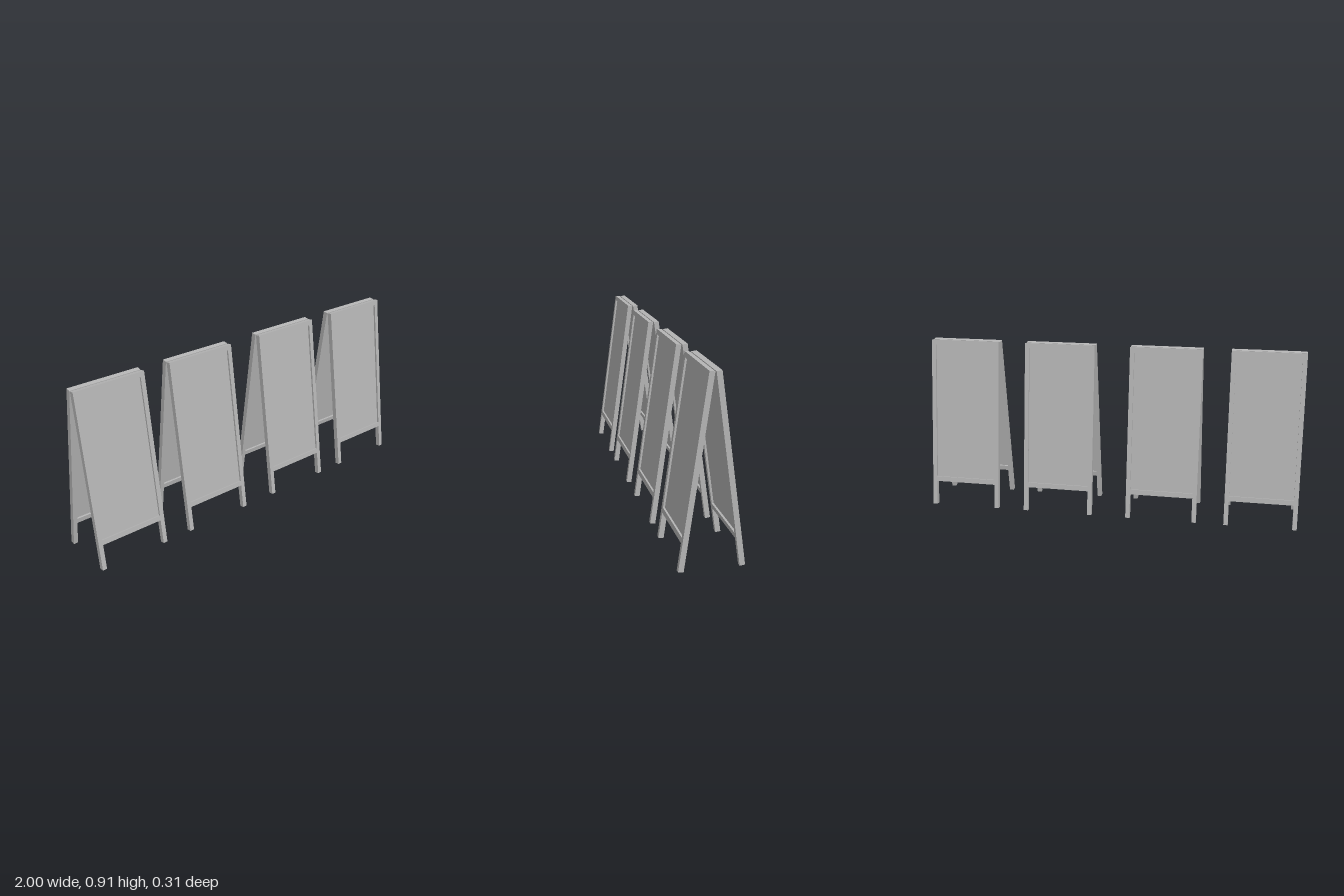
import * as THREE from 'three';

const WIDTH = 0.38, LENGTH = 0.919, DEPTH = 0.026; // one leaf, measured along its slope
const LEG = 0.023, RAIL = 0.026, TILT = 0.14;
const RAIL_Y = 0.131; // underside of the bottom rail, up the slope

const grey = new THREE.MeshStandardMaterial({ color: 0xb4b4b4 });
grey.name = 'grey';

function box(name, w, h, d, x, y, z = 0) {
  const mesh = new THREE.Mesh(new THREE.BoxGeometry(w, h, d), grey);
  mesh.name = name;
  mesh.position.set(x, y, z);
  return mesh;
}

// One framed leaf standing on its legs, outer face towards +z
function makeLeaf(name) {
  const leaf = new THREE.Group();
  leaf.name = name;
  const inner = WIDTH - 2 * LEG;
  for (const [side, s] of [['left', 1], ['right', -1]]) {
    leaf.add(box(side + 'Leg', LEG, LENGTH, DEPTH, s * (WIDTH - LEG) / 2, LENGTH / 2));
  }
  leaf.add(box('topRail', inner, RAIL, DEPTH, 0, LENGTH - RAIL / 2));
  leaf.add(box('bottomRail', inner, RAIL, DEPTH, 0, RAIL_Y + RAIL / 2));
  // Recessed board between the rails
  const low = RAIL_Y + RAIL, high = LENGTH - RAIL;
  leaf.add(box('panel', inner, high - low, 0.006, 0, (low + high) / 2));
  return leaf;
}

// Two leaves leaning together
function makeSign(name, x) {
  const sign = new THREE.Group();
  sign.name = name;
  sign.position.x = x;
  for (const [side, turn] of [['frontLeaf', 0], ['backLeaf', Math.PI]]) {
    const half = new THREE.Group();
    half.name = side + 'Side';
    half.rotation.y = turn;
    const leaf = makeLeaf(side);
    leaf.rotation.x = -TILT;
    leaf.position.set(0, 0.0018, 0.1437);
    half.add(leaf);
    sign.add(half);
  }
  return sign;
}

export function createModel() {
  const model = new THREE.Group();
  model.name = 'pavementSigns';
  [-0.81, -0.284, 0.284, 0.81].forEach((x, i) => model.add(makeSign('sign' + (i + 1), x)));
  return model;
}
